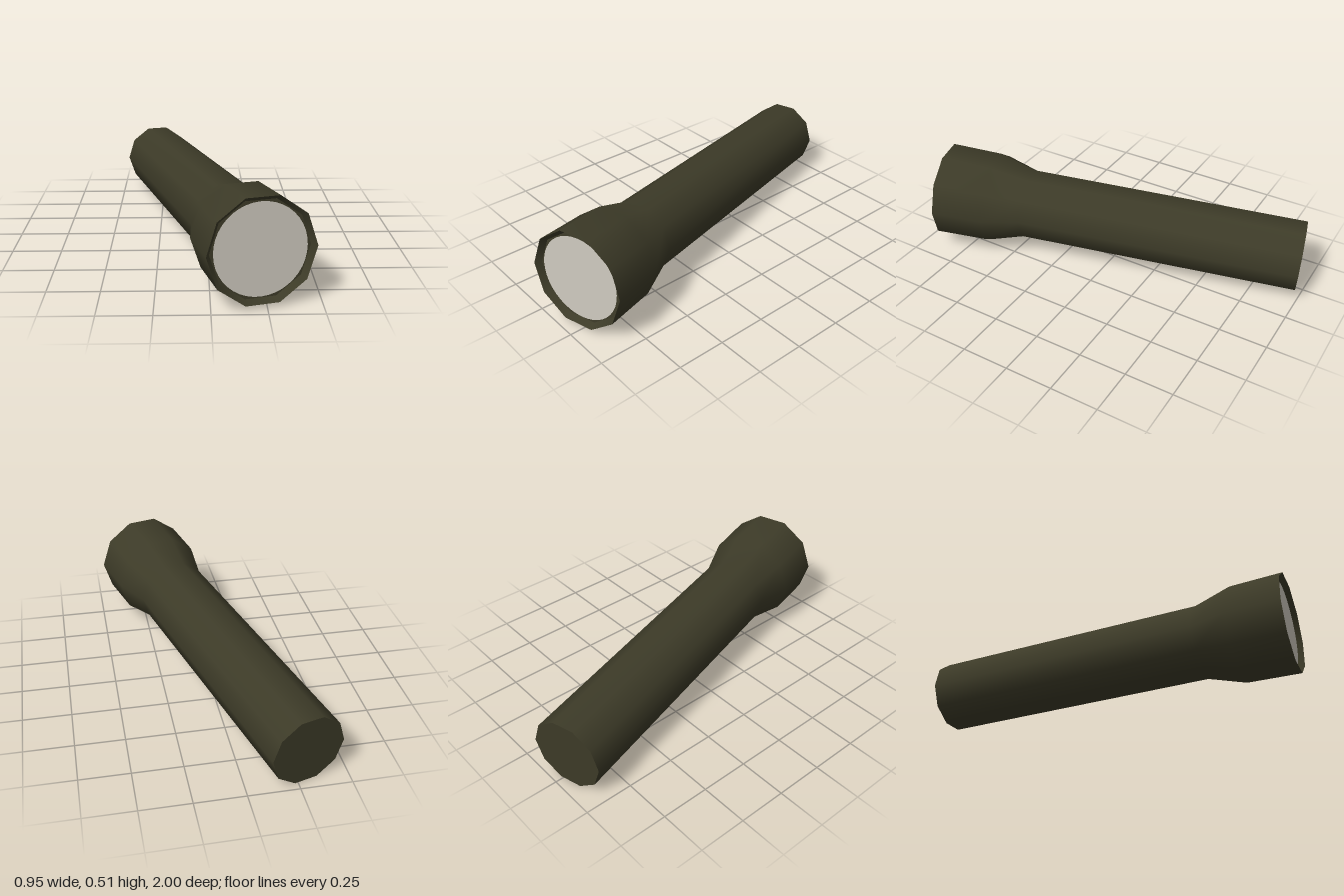
import * as THREE from 'three';

export function createModel() {
  const olive = new THREE.MeshStandardMaterial({ color: 0x3d3b28 });
  olive.name = 'dark olive';
  const glass = new THREE.MeshStandardMaterial({ color: 0xcdc8bd });
  glass.name = 'pale lens';

  const model = new THREE.Group();
  model.name = 'flashlight';

  const back = new THREE.Vector3(-0.293, 0.18, -0.952);
  const front = new THREE.Vector3(0.226, 0.266, 0.931);
  const L = back.distanceTo(front);

  // Torch built along +z from its tail, then aimed at the front point
  const torch = new THREE.Group();
  torch.name = 'torch';
  torch.position.copy(back);
  torch.lookAt(front);
  model.add(torch);

  // Ten-sided turned part from [radius, distance from tail] pairs
  function turned(name, profile) {
    const points = profile.map(([r, d]) => new THREE.Vector2(r, d));
    const geometry = new THREE.LatheGeometry(points, 10, Math.PI / 2);
    geometry.rotateX(Math.PI / 2);
    const mesh = new THREE.Mesh(geometry, olive);
    mesh.name = name;
    torch.add(mesh);
  }

  // Handle, flared neck and head
  turned('body', [[0.188, 0], [0.192, L * 0.761], [0.25, L * 0.859], [0.257, L]]);
  turned('tailCap', [[0, 0], [0.188, 0]]);

  // Recessed rim and the seat behind the lens
  turned('rim', [[0.257, L], [0.235, L - 0.03]]);
  turned('lensSeat', [[0.235, L - 0.03], [0, L - 0.03]]);

  // Round lens
  const lens = new THREE.Mesh(new THREE.CircleGeometry(0.218, 40), glass);
  lens.name = 'lens';
  lens.position.z = L - 0.026;
  torch.add(lens);

  return model;
}
